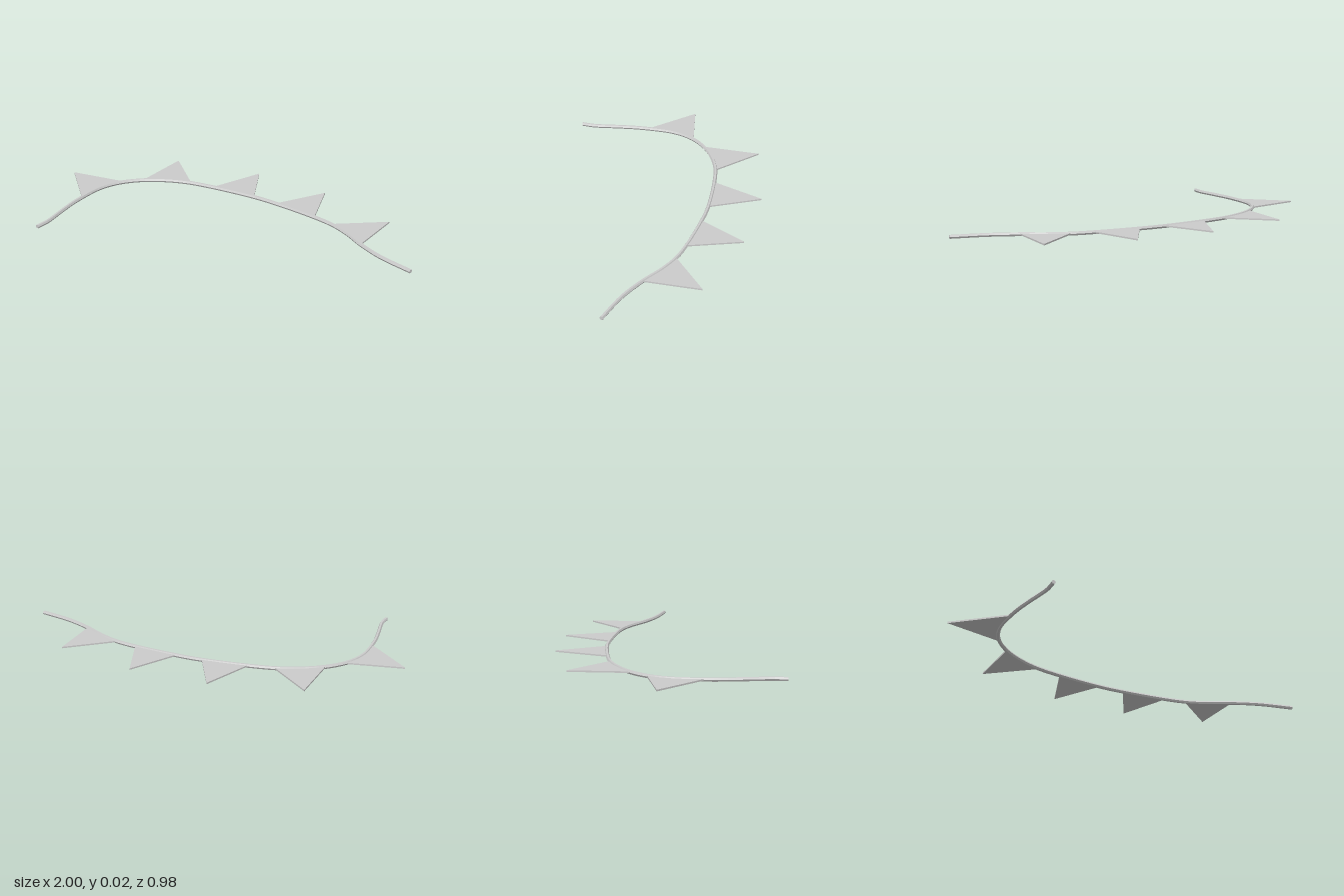
import * as THREE from 'three';

// Rope centreline as [x, z]
const ROPE = [
  [-0.942, 0.483], [-0.915, 0.42], [-0.89, 0.29], [-0.868, 0.18], [-0.835, 0.07], [-0.795, -0.03],
  [-0.745, -0.1], [-0.685, -0.152], [-0.59, -0.2], [-0.48, -0.227], [-0.355, -0.234], [-0.2, -0.212],
  [0.06, -0.148], [0.2, -0.096], [0.415, 0.002], [0.53, 0.068], [0.62, 0.145], [0.715, 0.25],
  [0.83, 0.352], [0.995, 0.458],
];

// Pennants: tip [x, z] and the x range of the base along the rope
const PENNANTS = [
  { tip: [-1, -0.19], from: -0.845, to: -0.685 },
  { tip: [-0.482, -0.495], from: -0.595, to: -0.32 },
  { tip: [0.008, -0.442], from: -0.2, to: 0.06 },
  { tip: [0.415, -0.292], from: 0.19, to: 0.422 },
  { tip: [0.81, -0.037], from: 0.525, to: 0.715 },
];

const RADIUS = 0.0106;
const ROPE_Y = RADIUS * Math.cos(Math.PI / 6);
const THICKNESS = 0.008;

export function createModel() {
  const group = new THREE.Group();
  const material = new THREE.MeshStandardMaterial({ color: 0xcccccc });
  const curve = new THREE.CatmullRomCurve3(ROPE.map(([x, z]) => new THREE.Vector3(x, ROPE_Y, z)));

  // Rope: hexagonal section swept along the curve, closed at both ends
  const section = new THREE.Shape();
  for (let i = 0; i < 6; i++) {
    const a = Math.PI / 6 + (i * Math.PI) / 3;
    section[i ? 'lineTo' : 'moveTo'](RADIUS * Math.cos(a), RADIUS * Math.sin(a));
  }
  section.closePath();
  const rope = new THREE.Mesh(
    new THREE.ExtrudeGeometry(section, { steps: 80, extrudePath: curve }), material);
  rope.name = 'rope';
  group.add(rope);

  // Pennants: thin flat triangles whose base follows the rope
  const samples = curve.getSpacedPoints(300);
  PENNANTS.forEach(({ tip, from, to }, i) => {
    const outline = samples
      .filter((p) => p.x >= from && p.x <= to)
      .map((p) => new THREE.Vector2(p.x, -p.z));
    outline.push(new THREE.Vector2(tip[0], -tip[1]));
    const geometry = new THREE.ExtrudeGeometry(new THREE.Shape(outline), {
      depth: THICKNESS, bevelEnabled: false,
    });
    geometry.rotateX(-Math.PI / 2);
    geometry.translate(0, ROPE_Y - THICKNESS / 2, 0);
    const pennant = new THREE.Mesh(geometry, material);
    pennant.name = `pennant${i + 1}`;
    group.add(pennant);
  });

  return group;
}
